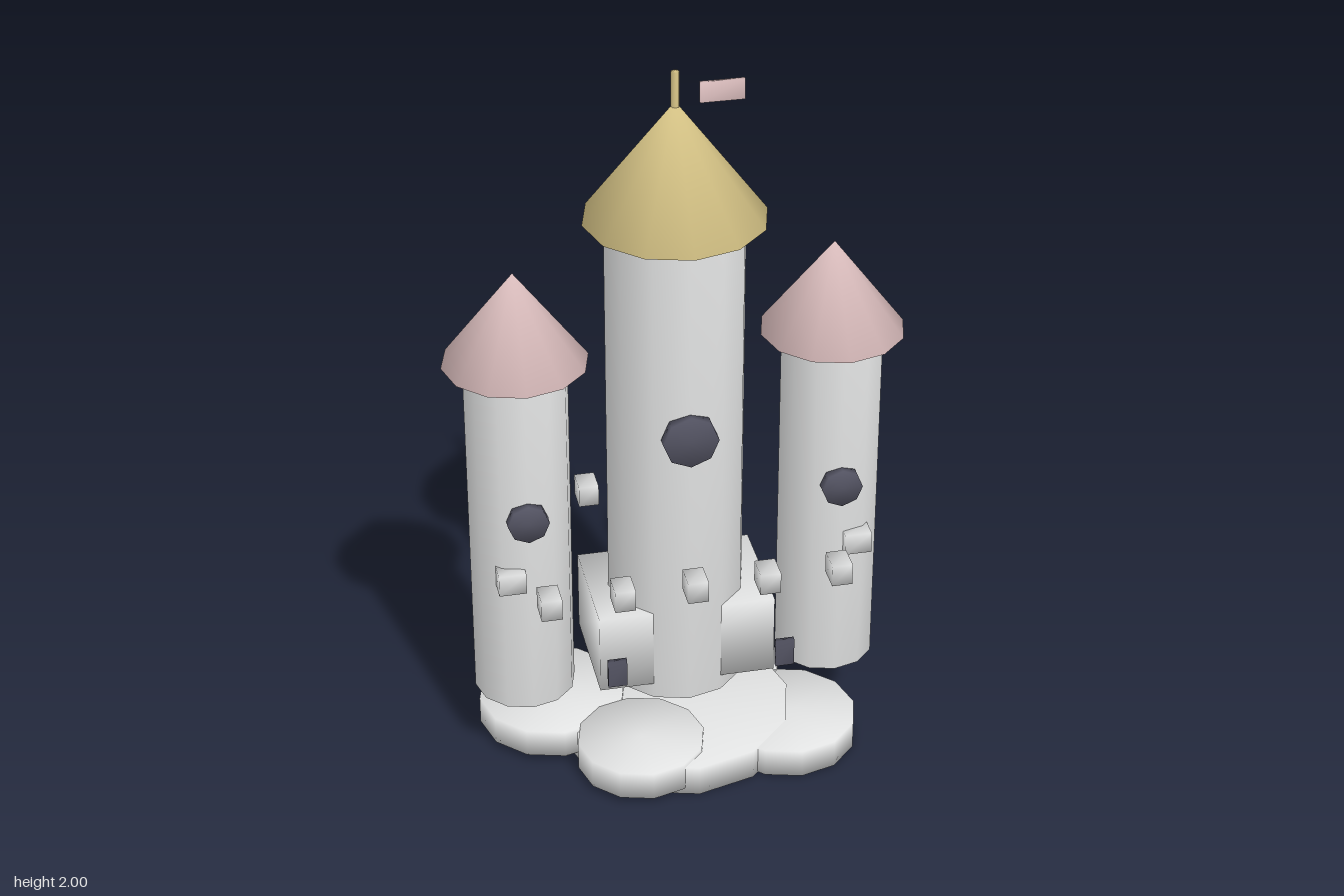
import * as THREE from 'three';
import { mergeVertices } from 'three/addons/utils/BufferGeometryUtils.js';

const material = (name, color) => {
  const m = new THREE.MeshStandardMaterial({ color });
  m.name = name;
  return m;
};

// Weld shared corners so every form has soft, rounded shading
function soften(geometry) {
  geometry.deleteAttribute('uv');
  geometry.deleteAttribute('normal');
  const welded = mergeVertices(geometry, 1e-4);
  welded.computeVertexNormals();
  return welded;
}

export function createModel() {
  const group = new THREE.Group();
  group.name = 'cloudCastle';
  const stone = material('paleStone', 0xe0e1e1);
  const gold = material('goldRoof', 0xdcc98a);
  const pink = material('pinkRoof', 0xe0c2c2);
  const glass = material('darkGlass', 0x535362);

  const add = (name, geometry, mat, x, y, z) => {
    const mesh = new THREE.Mesh(soften(geometry), mat);
    mesh.name = name;
    mesh.position.set(x, y, z);
    group.add(mesh);
    return mesh;
  };
  // Upright round part given by its bottom and top heights
  const drum = (name, mat, x, z, r, y0, y1, sides = 12) =>
    add(name, new THREE.CylinderGeometry(r, r, y1 - y0, sides), mat, x, (y0 + y1) / 2, z);
  const roof = (name, mat, x, r, y0, y1) =>
    add(name, new THREE.ConeGeometry(r, y1 - y0, 12), mat, x, (y0 + y1) / 2, 0);
  const box = (name, mat, w, h, d, x, y, z) =>
    add(name, new THREE.BoxGeometry(w, h, d), mat, x, y, z);
  const roundWindow = (name, r, x, y, z) =>
    add(name, new THREE.CylinderGeometry(r, r, 0.03, 8).rotateX(Math.PI / 2), glass, x, y, z);

  // Cloud base: x, z, radius, bottom, top
  [
    [0, 0, 0.32, 0, 0.088],
    [-0.33, -0.1, 0.205, 0.02, 0.1],
    [-0.13, 0.163, 0.175, 0.02, 0.102],
    [0.29, 0.11, 0.195, 0.003, 0.085],
    [0.16, -0.163, 0.175, 0.003, 0.085],
  ].forEach(([x, z, r, y0, y1]) => drum('cloudPuff', stone, x, z, r, y0, y1));

  // Keep and its roof
  box('keepBase', stone, 0.48, 0.23, 0.32, 0, 0.385, 0);
  drum('mainTower', stone, 0, 0, 0.185, 0.225, 1.6);
  roof('mainRoof', gold, 0, 0.24, 1.6, 1.92);
  roundWindow('mainWindow', 0.074, 0, 1.05, 0.187);

  // Flagpole and flag
  drum('flagpole', gold, 0, 0, 0.011, 1.88, 2, 8);
  box('flag', pink, 0.114, 0.055, 0.01, 0.12, 1.938, 0);

  // Mirrored side towers and doorway windows
  for (const s of [-1, 1]) {
    drum('sideTower', stone, s * 0.42, 0, 0.137, 0.225, 1.23);
    roof('sideRoof', pink, s * 0.42, 0.192, 1.23, 1.485);
    roundWindow('sideWindow', 0.055, s * 0.42, 0.825, 0.14);
    box('smallWindow', glass, 0.05, 0.08, 0.013, s * 0.225, 0.45, 0.331);
  }

  // Battlement blocks along front, back and both ends
  for (const s of [-1, 1]) {
    for (let i = -2; i <= 2; i++)
      box('battlement', stone, 0.055, 0.06, 0.073, i * 0.194, 0.645, s * 0.258);
    for (const t of [-1, 1])
      box('endBattlement', stone, 0.073, 0.06, 0.055, s * 0.468, 0.645, t * 0.131);
  }
  return group;
}
